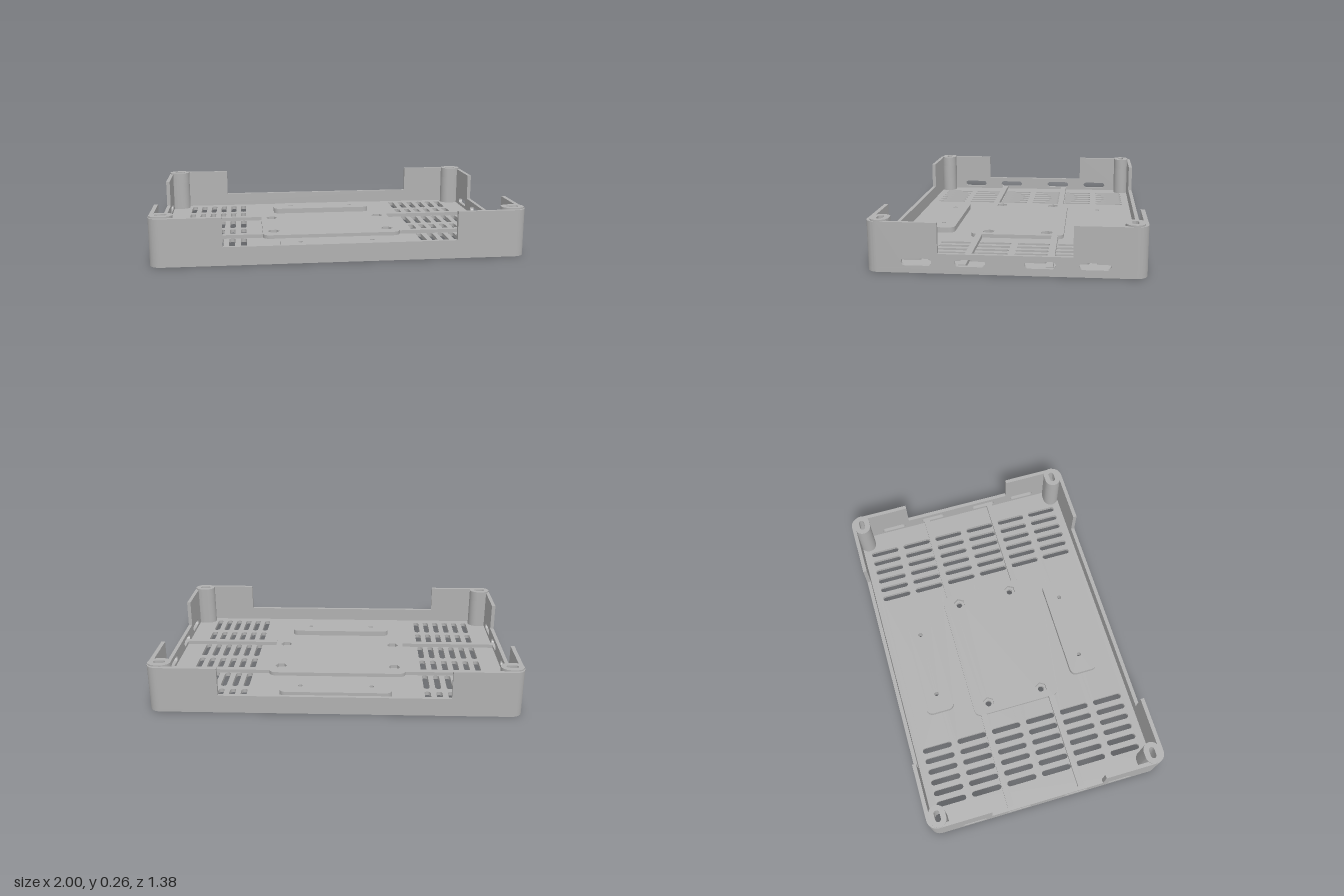
import * as THREE from 'three';
import { toCreasedNormals } from 'three/addons/utils/BufferGeometryUtils.js';

const W = 1, D = 0.692;            // half width and half depth of the tray
const R = 0.06, T = 0.022;         // corner radius and wall thickness
const FLOOR = 0.021, LOW = 0.1, TALL = 0.256;

export function createModel() {
  const model = new THREE.Group();
  model.name = 'enclosureTray';
  const grey = new THREE.MeshStandardMaterial({ color: 0xb0b0b0 });
  grey.name = 'grey plastic';

  // Rounded rectangle, slot or circle outline from half sizes and corner radius
  function rounded(Type, cx, cy, hw, hh, r, n = 6) {
    const pts = [];
    const signs = [[1, 1], [-1, 1], [-1, -1], [1, -1]];
    signs.forEach(([sx, sy], q) => {
      for (let i = 0; i <= n; i++) {
        const a = (q + i / n) * Math.PI / 2;
        const p = new THREE.Vector2(
          cx + sx * (hw - r) + r * Math.cos(a),
          cy + sy * (hh - r) + r * Math.sin(a));
        if (pts.every((o) => o.distanceTo(p) > 1e-5)) pts.push(p);
      }
    });
    return new Type(pts);
  }
  const outline = (...a) => rounded(THREE.Shape, ...a);
  const hole = (...a) => rounded(THREE.Path, ...a);

  function add(name, geometry) {
    const mesh = new THREE.Mesh(toCreasedNormals(geometry, 0.6), grey);
    mesh.name = name;
    model.add(mesh);
    return mesh;
  }
  const extrude = (shape, depth) =>
    new THREE.ExtrudeGeometry(shape, { depth, bevelEnabled: false, curveSegments: 10 });

  // Horizontal plate between two heights (shape y becomes -z)
  function slab(name, shape, y0, y1) {
    return add(name, extrude(shape, y1 - y0).rotateX(-Math.PI / 2).translate(0, y0, 0));
  }

  const sides = [-1, 1];
  const corners = sides.flatMap((sx) => sides.map((sz) => [sx, sz]));
  const bossX = 0.936, bossZ = 0.627, nutX = 0.338, nutZ = 0.167, padZ = 0.456;

  // Floor with vents and screw holes
  const floor = outline(0, 0, W, D, R, 10);
  for (const s of sides) {
    for (let col = 0; col < 6; col++) {
      for (const row of [0.107, 0.322, 0.536]) {
        for (const sz of sides) {
          floor.holes.push(hole(s * (0.514 + col * 0.0652), sz * row, 0.017, 0.089, 0.017, 4));
        }
      }
    }
  }
  for (const [sx, sz] of corners) {
    floor.holes.push(hole(sx * bossX, sz * bossZ, 0.046, 0.032, 0.032));
    floor.holes.push(hole(sx * nutX, sz * nutZ, 0.018, 0.018, 0.018));
    floor.holes.push(hole(sx * 0.2, sz * padZ, 0.013, 0.013, 0.013));
  }
  slab('floor', floor, 0, FLOOR);

  // Wall panel: tall at both ends, low in the middle
  function panelShape(half, notch) {
    return new THREE.Shape([
      [-half, FLOOR], [half, FLOOR], [half, TALL], [notch, TALL],
      [notch, LOW], [-notch, LOW], [-notch, TALL], [-half, TALL],
    ].map(([x, y]) => new THREE.Vector2(x, y)));
  }
  for (const s of sides) {
    const zPos = s > 0 ? D - T : -D;
    add(s > 0 ? 'frontWall' : 'backWall',
      extrude(panelShape(W - R, 0.621), T).translate(0, 0, zPos));

    // Side walls carry four long slots
    const side = panelShape(D - R, 0.332);
    for (const z of [-0.438, -0.172, 0.172, 0.438]) {
      side.holes.push(hole(z, 0.056, 0.076, 0.018, 0.018));
    }
    add(s > 0 ? 'leftWall' : 'rightWall',
      extrude(side, T).rotateY(Math.PI / 2).translate(s > 0 ? W - T : -W, 0, 0));
  }

  // Rounded wall corners
  for (const [sx, sz] of corners) {
    const start = Math.atan2(sz, sx) < 0
      ? (sx > 0 ? 1.5 : 1) * Math.PI
      : (sx > 0 ? 0 : 0.5) * Math.PI;
    const ring = new THREE.Shape();
    const cx = sx * (W - R), cy = sz * (D - R);
    ring.absarc(cx, cy, R, start, start + Math.PI / 2, false);
    ring.absarc(cx, cy, R - T, start + Math.PI / 2, start, true);
    slab('wallCorner', ring, FLOOR, TALL);

    // Screw boss: wide counterbore below, narrow slot at the top
    const bore = outline(sx * bossX, sz * bossZ, 0.062, 0.047, 0.047, 8);
    bore.holes.push(hole(sx * bossX, sz * bossZ, 0.046, 0.032, 0.032));
    slab('bossColumn', bore, FLOOR, 0.2);
    const cap = outline(sx * bossX, sz * bossZ, 0.062, 0.047, 0.047, 8);
    cap.holes.push(hole(sx * bossX, sz * bossZ, 0.032, 0.016, 0.016));
    slab('bossCap', cap, 0.2, 0.264);
  }

  // Central mounting plate with hexagonal nut pockets
  const plate = outline(0, 0, 0.402, 0.263, 0.04);
  for (const [sx, sz] of corners) {
    const hex = [];
    for (let i = 0; i < 6; i++) {
      const a = i * Math.PI / 3;
      hex.push(new THREE.Vector2(sx * nutX + 0.035 * Math.cos(a), sz * nutZ + 0.035 * Math.sin(a)));
    }
    plate.holes.push(new THREE.Path(hex));
  }
  slab('centralPlate', plate, FLOOR, 0.042);

  // Long raised pads in front of and behind the plate
  for (const s of sides) {
    const pad = outline(0, s * padZ, 0.313, 0.083, 0.035);
    for (const sx of sides) pad.holes.push(hole(sx * 0.2, s * padZ, 0.013, 0.013, 0.013));
    slab(s > 0 ? 'backPad' : 'frontPad', pad, FLOOR, 0.052);
  }

  // Stiffening ribs from the plate to the side walls
  for (const [sx, sz] of corners) {
    const length = W - T - 0.402;
    const rib = add('floorRib', new THREE.BoxGeometry(length, 0.021, 0.036));
    rib.position.set(sx * (0.402 + length / 2), FLOOR + 0.0105, sz * 0.2145);
  }
  return model;
}
